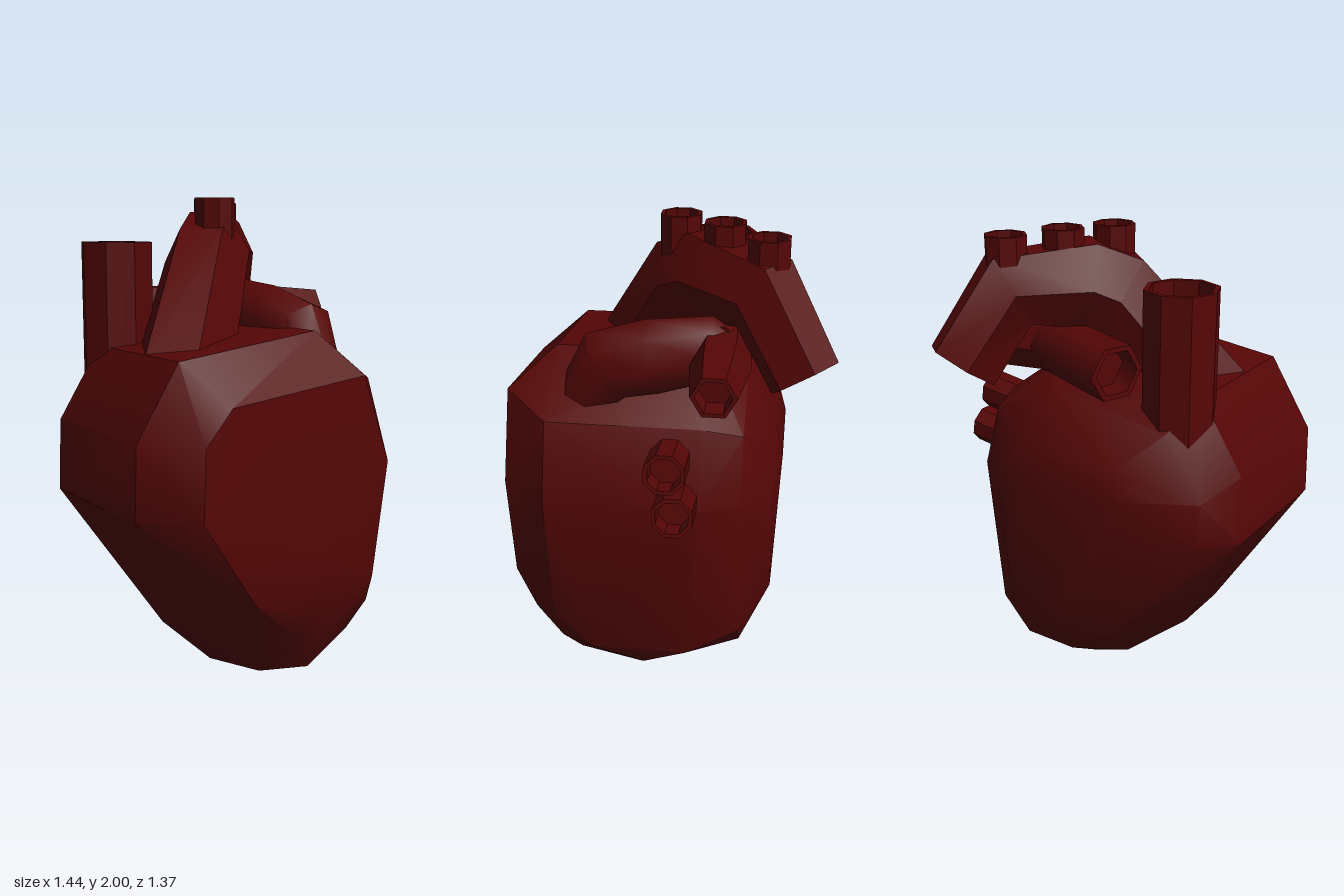
import * as THREE from 'three';
import { toCreasedNormals } from 'three/addons/utils/BufferGeometryUtils.js';
import { ConvexGeometry } from 'three/addons/geometries/ConvexGeometry.js';

const V = (a) => new THREE.Vector3(...a);
const material = new THREE.MeshStandardMaterial({ color: 0x560606 });

function addMesh(group, name, geometry) {
  const mesh = new THREE.Mesh(geometry, material);
  mesh.name = name;
  group.add(mesh);
}

// Faceted vessel along a planar path, with a hollow far end.
// across: direction square to the path's plane; radii: one per path point;
// tall: stretch of the cross-section within the path's plane.
function vessel(path, radii, across, { sides = 8, crease = 0.6, wall = 0.8, phase = 0, tall = 1 } = {}) {
  const pts = path.map(V);
  const n = pts.length;
  const rings = pts.map((p, i) => {
    const t = new THREE.Vector3();
    if (i > 0) t.add(p.clone().sub(pts[i - 1]).normalize());
    if (i < n - 1) t.add(pts[i + 1].clone().sub(p).normalize());
    return { p, t: t.normalize(), r: radii[i] };
  });
  const end = rings[n - 1];
  const sunk = end.p.clone().addScaledVector(end.t, -0.1);
  rings.unshift({ ...rings[0], r: 0 });
  rings.push({ ...end, r: end.r * wall }, { ...end, p: sunk, r: end.r * wall }, { ...end, p: sunk, r: 0 });

  const pos = [], index = [];
  rings.forEach(({ p, t, r }, i) => {
    const u = V(across).addScaledVector(t, -V(across).dot(t)).normalize();
    const v = t.clone().cross(u);
    for (let j = 0; j < sides; j++) {
      const a = phase + (j / sides) * Math.PI * 2;
      const q = p.clone().addScaledVector(u, r * Math.cos(a)).addScaledVector(v, r * tall * Math.sin(a));
      pos.push(q.x, q.y, q.z);
      if (i === 0) continue;
      const k = (j + 1) % sides, lo = (i - 1) * sides, hi = i * sides;
      if (rings[i - 1].r > 0) index.push(lo + j, lo + k, hi + (r > 0 ? k : j));
      if (r > 0) index.push(lo + j, hi + k, hi + j);
    }
  });
  const g = new THREE.BufferGeometry();
  g.setAttribute('position', new THREE.Float32BufferAttribute(pos, 3));
  g.setIndex(index);
  return toCreasedNormals(g.toNonIndexed(), crease);
}

export function createModel() {
  const heart = new THREE.Group();
  heart.name = 'heart';

  // Muscle body: convex skin over outlines stacked from front to back
  const outline = [[-0.71, 1.08], [-0.52, 1.38], [0.14, 1.46], [0.44, 1.24], [0.55, 0.92],
    [0.45, 0.3], [-0.72, 0.78]];
  const front = [[-0.53, 1.08, 0.68], [-0.41, 1.22, 0.68], [0.24, 1.29, 0.68], [0.38, 0.92, 0.68],
    [0.31, 0.43, 0.68], [0.37, 0.28, 0.58], [0.12, 0.18, 0.58], [-0.02, 0.2, 0.6],
    [0.02, 0.3, 0.655], [-0.28, 0.41, 0.66], [-0.54, 0.79, 0.68]];
  const backEdge = [[-0.62, 1.0], [-0.45, 1.26], [0.1, 1.36], [0.4, 1.2], [0.48, 0.92],
    [0.41, 0.25], [0.27, 0.1], [0.02, 0.1], [-0.22, 0.28], [-0.61, 0.8]];
  const back = [[-0.36, 0.95], [-0.3, 1.12], [0.15, 1.13], [0.31, 0.9], [0.26, 0.4],
    [0.15, 0.33], [0, 0.35], [-0.32, 0.75]];
  // Rounded tip: a small flat oval and the wider ring above it
  const tip = [[0.36, 0.1], [0.25, -0.13], [0, -0.16], [-0.12, -0.08], [-0.18, 0.18],
    [-0.08, 0.41], [0.12, 0.49], [0.28, 0.4]];
  const tipRing = [[0.43, 0.12, 0.32], [0.43, 0.12, -0.1], [0.36, 0.12, 0.47],
    [-0.35, 0.17, 0.34], [-0.35, 0.17, 0.06], [-0.22, 0.17, 0.49]];
  const skin = [
    ...front,
    ...outline.map(([x, y]) => [x, y, 0.48]),
    ...outline.map(([x, y]) => [x, y, -0.16]),
    ...backEdge.map(([x, y]) => [x, y, -0.33]),
    ...back.map(([x, y]) => [x, y, -0.46]),
    [-0.32, 1.0, -0.49], [0.14, 1.0, -0.49],
    ...tip.map(([x, z]) => [x, 0, z]),
    ...tipRing,
  ].map(V);
  addMesh(heart, 'heartBody', toCreasedNormals(new ConvexGeometry(skin), 0.55));

  // Aortic arch rising over the body and curling down behind
  addMesh(heart, 'aorticArch', vessel(
    [[-0.35, 1.2, 0.2], [-0.03, 1.72, -0.07], [0.05, 1.77, -0.15], [0.265, 1.76, -0.385], [0.38, 1.46, -0.56]],
    [0.215, 0.185, 0.175, 0.155, 0.138], [0.72, 0, 0.7], { sides: 6, tall: 1.15 }));

  // Three short branches on top of the arch
  [[-0.01, 2.0, -0.03], [0.11, 2.0, -0.22], [0.26, 1.985, -0.4]].forEach(([x, y, z], i) => {
    addMesh(heart, `archBranch${i + 1}`, vessel(
      [[x, 1.8, z], [x, y, z]], [0.088, 0.088], [1, 0, 0], { phase: Math.PI / 8 }));
  });

  // Large upright vein on the right
  addMesh(heart, 'upperVein', vessel(
    [[-0.42, 1.1, -0.17], [-0.42, 1.815, -0.17]], [0.155, 0.155], [1, 0, 0], { wall: 0.86 }));

  // Pulmonary trunk and its two branches
  addMesh(heart, 'pulmonaryTrunk', vessel(
    [[0.24, 1.26, 0.34], [0.24, 1.42, 0.24], [0.23, 1.46, 0.06], [0.22, 1.505, -0.2], [0.22, 1.51, -0.28]],
    [0.13, 0.165, 0.165, 0.14, 0.09], [1, 0, 0], { crease: 1 }));
  addMesh(heart, 'leftPulmonaryBranch', vessel(
    [[0.18, 1.5, -0.23], [0.4, 1.495, -0.23], [0.69, 1.495, -0.23]],
    [0.11, 0.123, 0.09], [0, 0, 1], { sides: 6 }));
  addMesh(heart, 'rightPulmonaryBranch', vessel(
    [[0.25, 1.51, -0.19], [-0.265, 1.5, -0.39]], [0.12, 0.122], [0, 1, 0],
    { sides: 6, phase: Math.PI / 6, crease: 1.1 }));

  // Pair of small veins on the left
  [[0.67, 1.15, -0.04], [0.705, 0.98, -0.075]].forEach(([x, y, z], i) => {
    addMesh(heart, `leftVein${i + 1}`, vessel(
      [[x - 0.33, y - 0.05, z], [x, y, z]], [0.087, 0.087], [0, 0, 1], { phase: Math.PI / 8 }));
  });

  return heart;
}
